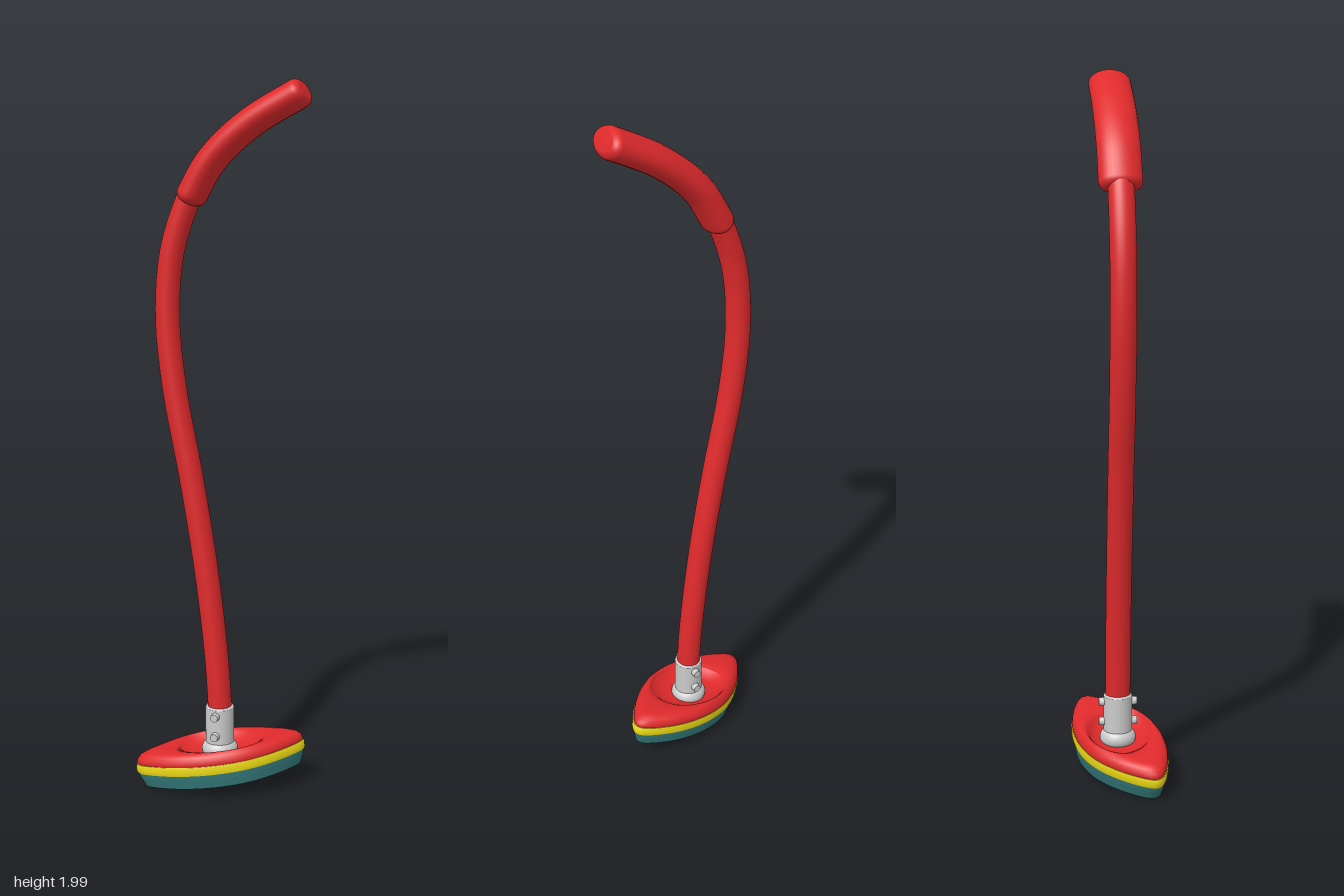
import * as THREE from 'three';

const RED = 0xe02a2c, YELLOW = 0xe8d614, TEAL = 0x357a7c, GREY = 0xcccccc;
const V = (x, y, z) => new THREE.Vector3(x, y, z);

function part(name, geometry, color) {
  const mesh = new THREE.Mesh(geometry, new THREE.MeshStandardMaterial({ color }));
  mesh.name = name;
  return mesh;
}

// Skin a list of closed rings; repeating a ring makes a sharp edge there.
function loft(rings) {
  const n = rings[0].length, pos = [], index = [];
  rings.forEach(ring => ring.forEach(p => pos.push(p.x, p.y, p.z)));
  for (let i = 0; i < rings.length - 1; i++) {
    if (rings[i] === rings[i + 1]) continue;
    for (let j = 0; j < n; j++) {
      const k = (j + 1) % n, a = i * n, b = a + n;
      index.push(a + j, a + k, b + k, a + j, b + k, b + j);
    }
  }
  const g = new THREE.BufferGeometry();
  g.setAttribute('position', new THREE.Float32BufferAttribute(pos, 3));
  g.setIndex(index);
  g.computeVertexNormals();
  return g;
}

// Sweep an elliptical section along a curve in the xy plane, with rounded ends.
function sweep(points, rIn, rZ, round, z) {
  const curve = new THREE.CatmullRomCurve3(points.map(([x, y]) => V(x, y, z)));
  const len = curve.getLength(), us = [], N = 40, SIDES = 32;
  const caps = [0, 0.03, 0.12, 0.3, 0.55, 0.8, 1];
  const cut = round / len;
  caps.forEach(c => us.push([c * cut, c]));
  for (let i = 1; i < N; i++) us.push([cut + (1 - 2 * cut) * i / N, 1]);
  [...caps].reverse().forEach(c => us.push([1 - c * cut, c]));
  return loft(us.map(([u, c]) => {
    const p = curve.getPointAt(u), t = curve.getTangentAt(u);
    const full = Math.sqrt(1 - (1 - c) ** 2);
    const inset = c === 0 ? 0.001 : 1;
    const a = Math.max(rIn - round * (1 - full), 0.001) * inset;
    const b = Math.max(rZ - round * (1 - full), 0.001) * inset;
    return Array.from({ length: SIDES }, (_, j) => {
      const w = j / SIDES * Math.PI * 2;
      return V(p.x + t.y * a * Math.cos(w), p.y - t.x * a * Math.cos(w), z - b * Math.sin(w));
    });
  }));
}

// Slanted leaf outline of the head, about its own centre.
const half = [[0.232, -0.08], [0.222, -0.1], [0.17, -0.12], [0.08, -0.132],
  [-0.02, -0.12], [-0.11, -0.08], [-0.19, 0]];
const outline = new THREE.CatmullRomCurve3(
  [...half, ...half.map(([x, z]) => [-x, -z])].map(([x, z]) => V(x, 0, z)), true
).getSpacedPoints(96).slice(0, 96);

// One outline ring: scaled, at height y, blended towards an oval by the factor oval.
function leaf(scale, y, oval = 0) {
  return outline.map(p => {
    const w = Math.atan2(p.z, p.x);
    const x = THREE.MathUtils.lerp(p.x, 0.19 * Math.cos(w), oval);
    const z = THREE.MathUtils.lerp(p.z, 0.14 * Math.sin(w), oval);
    return V(x * scale, y, z * scale);
  });
}

function layer(name, color, profile) {
  // a fourth value of true marks a sharp edge
  const rings = [];
  profile.forEach(([s, y, oval, sharp]) => {
    const r = leaf(s, y, oval);
    rings.push(r);
    if (sharp) rings.push(r);
  });
  return part(name, loft(rings), color);
}

export function createModel() {
  const model = new THREE.Group();

  // Shaft and padded grip
  const z0 = -0.004;
  model.add(part('shaft', sweep([[-0.012, 0.2], [-0.022, 0.36], [-0.052, 0.62], [-0.098, 0.9],
    [-0.148, 1.16], [-0.167, 1.36], [-0.152, 1.54], [-0.1, 1.69], [-0.06, 1.755]],
  0.034, 0.036, 0.004, z0), RED));
  model.add(part('grip', sweep([[-0.104, 1.674], [-0.037, 1.785], [0.069, 1.88], [0.224, 1.968]],
    0.041, 0.06, 0.022, z0), RED));

  // Ferrule with a ball foot and cross bolts
  const joint = new THREE.Group();
  joint.name = 'joint';
  joint.position.set(-0.014, 0, z0);
  const sleeve = part('sleeve', new THREE.LatheGeometry([[0, 0.1], [0.041, 0.1], [0.041, 0.1],
    [0.041, 0.235], [0.041, 0.235], [0.038, 0.24], [0.03, 0.24]]
    .map(([x, y]) => new THREE.Vector2(x, y)), 40), GREY);
  const foot = part('ballFoot', new THREE.SphereGeometry(0.052, 32, 20), GREY);
  foot.scale.y = 0.7;
  foot.position.y = 0.11;
  joint.add(sleeve, foot);
  for (const y of [0.217, 0.158]) {
    for (const side of [1, -1]) {
      const bolt = part('bolt', new THREE.CylinderGeometry(0.011, 0.013, 0.02, 16), GREY);
      bolt.rotation.x = side * Math.PI / 2;
      bolt.position.set(0, y, side * 0.045);
      joint.add(bolt);
    }
  }
  model.add(joint);

  // Tilted head of three stacked layers
  const head = new THREE.Group();
  head.name = 'head';
  head.position.set(-0.002, 0.034, 0);
  head.rotation.z = 0.147;
  head.add(layer('sole', TEAL, [[0.001, 0, 0], [0.92, 0, 0, true], [0.965, 0.026, 0, true],
    [0.985, 0.042, 0, true], [0.001, 0.042, 0]]));
  head.add(layer('middleLayer', YELLOW, [[0.001, 0.041, 0], [0.99, 0.041, 0, true], [1, 0.047, 0],
    [1, 0.06, 0], [0.985, 0.067, 0, true], [0.001, 0.067, 0]]));
  // Padded top with a hollow around the joint
  head.add(layer('topPad', RED, [[0.97, 0.066, 0], [0.985, 0.072, 0], [0.97, 0.082, 0],
    [0.93, 0.092, 0], [0.86, 0.099, 0.1], [0.77, 0.101, 0.4], [0.69, 0.098, 0.8],
    [0.64, 0.092, 1, true], [0.56, 0.08, 1], [0.44, 0.071, 1], [0.3, 0.069, 1], [0.001, 0.069, 1]]));
  model.add(head);

  return model;
}
